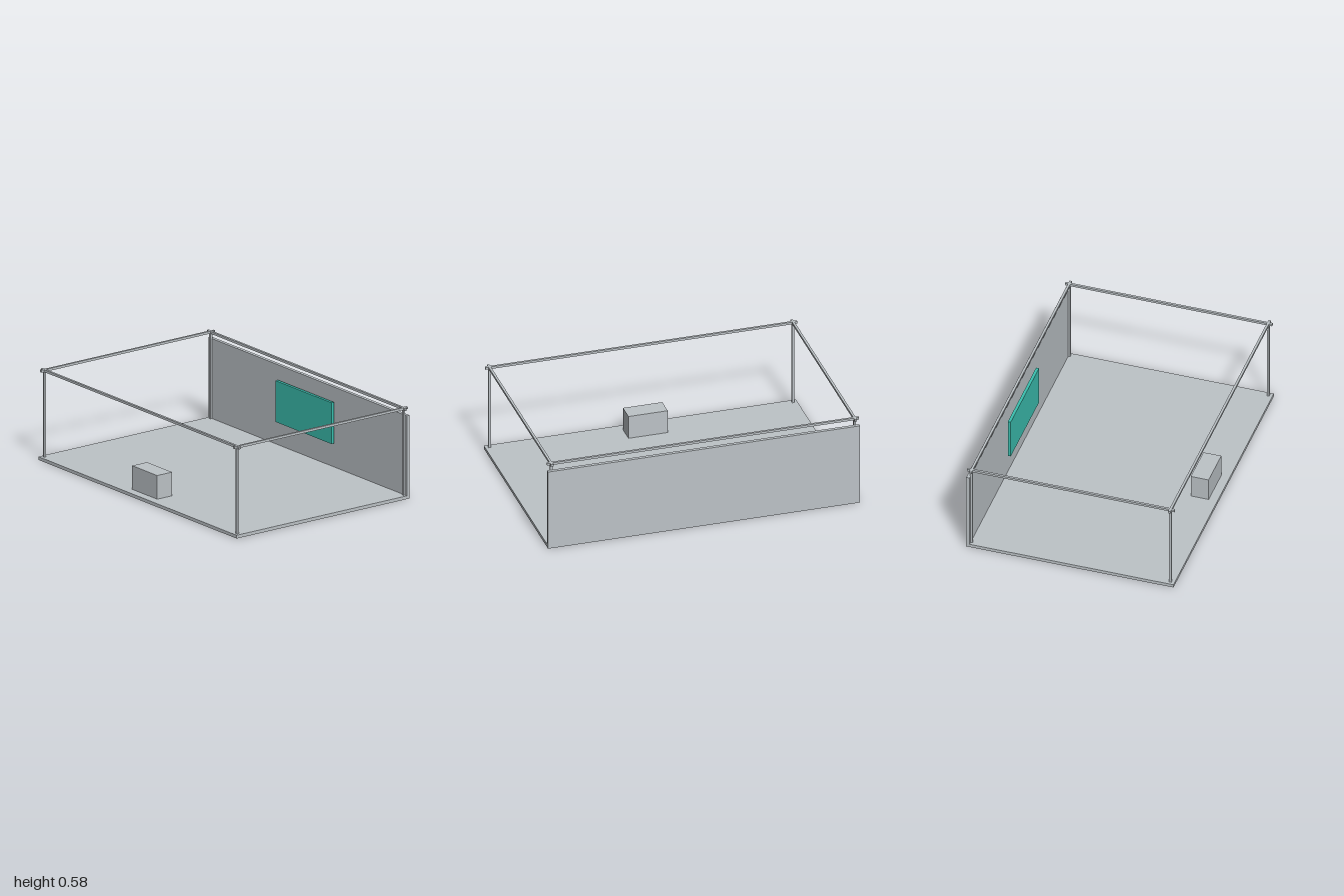
import * as THREE from 'three';

export function createModel() {
  const group = new THREE.Group();
  const grey = new THREE.MeshStandardMaterial({ color: 0xbdc3c7 });
  grey.name = 'light grey';
  const teal = new THREE.MeshStandardMaterial({ color: 0x3cc0b0 });
  teal.name = 'teal';

  // Box given by its lower and upper corners
  function box(name, material, [x0, y0, z0], [x1, y1, z1]) {
    const mesh = new THREE.Mesh(new THREE.BoxGeometry(x1 - x0, y1 - y0, z1 - z0), material);
    mesh.position.set((x0 + x1) / 2, (y0 + y1) / 2, (z0 + z1) / 2);
    mesh.name = name;
    group.add(mesh);
  }

  const halfDepth = 0.667, floorTop = 0.021, wallFront = -0.645;
  const top = 0.584, beamBottom = 0.569, postX = 0.973, postZ = 0.64, r = 0.0075;

  // Stage floor and rear wall
  box('floor', grey, [-1, 0, wallFront], [1, floorTop, halfDepth]);
  box('backWall', grey, [-1, 0, -halfDepth], [1, 0.535, wallFront]);

  // Wall screen and front desk
  box('screen', teal, [-0.282, 0.179, -0.631], [0.282, 0.444, -0.612]);
  box('desk', grey, [-0.126, floorTop, 0.496], [0.126, 0.173, 0.611]);

  // Overhead frame: crossing beams on four corner posts
  for (const s of [-1, 1]) {
    const x = s * postX, z = s * postZ;
    box('crossBeam', grey, [-1, beamBottom, z - r], [1, top, z + r]);
    box('sideBeam', grey, [x - r, beamBottom, -halfDepth], [x + r, top, halfDepth]);
    for (const t of [-1, 1]) {
      const pz = t * postZ;
      box('cornerPost', grey, [x - r, floorTop, pz - r], [x + r, beamBottom, pz + r]);
    }
  }
  return group;
}
